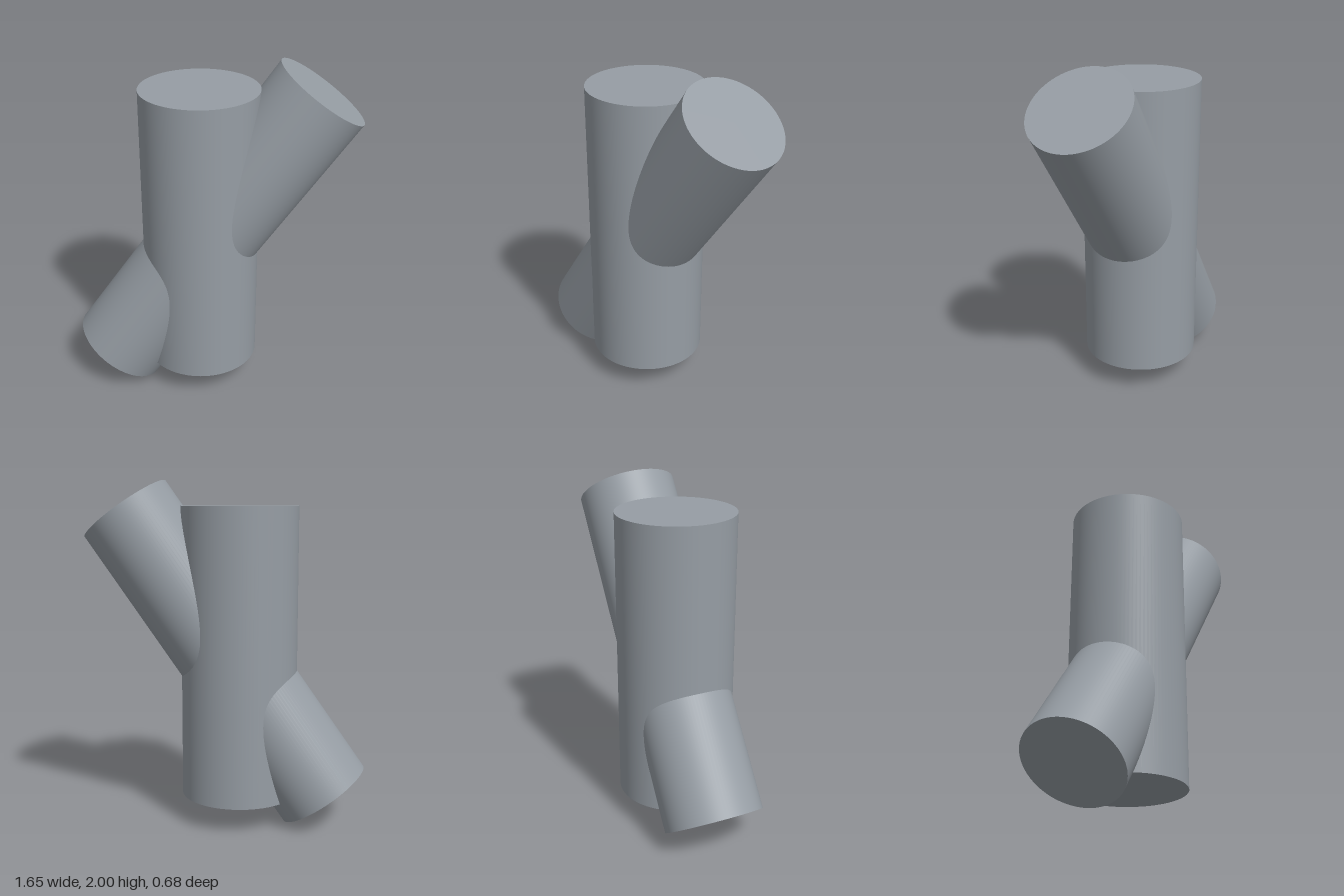
import * as THREE from 'three';

// Solid cylinder running between two axis points
function rod(name, radius, from, to, material) {
  const axis = to.clone().sub(from);
  const mesh = new THREE.Mesh(
    new THREE.CylinderGeometry(radius, radius, axis.length(), 96), material);
  mesh.name = name;
  mesh.position.copy(from).add(to).multiplyScalar(0.5);
  mesh.quaternion.setFromUnitVectors(new THREE.Vector3(0, 1, 0), axis.normalize());
  return mesh;
}

export function createModel() {
  const model = new THREE.Group();
  model.name = 'crossedCylinders';
  const steel = new THREE.MeshStandardMaterial({ color: 0x969da4 });
  steel.name = 'steel grey';

  // Upright main body
  model.add(rod('uprightCylinder', 0.339,
    new THREE.Vector3(-0.087, 0.153, 0), new THREE.Vector3(-0.087, 1.853, 0), steel));

  // Slanted branch passing right through the body
  model.add(rod('slantedCylinder', 0.288,
    new THREE.Vector3(-0.593, 0.167, 0), new THREE.Vector3(0.59, 1.833, 0), steel));

  return model;
}
